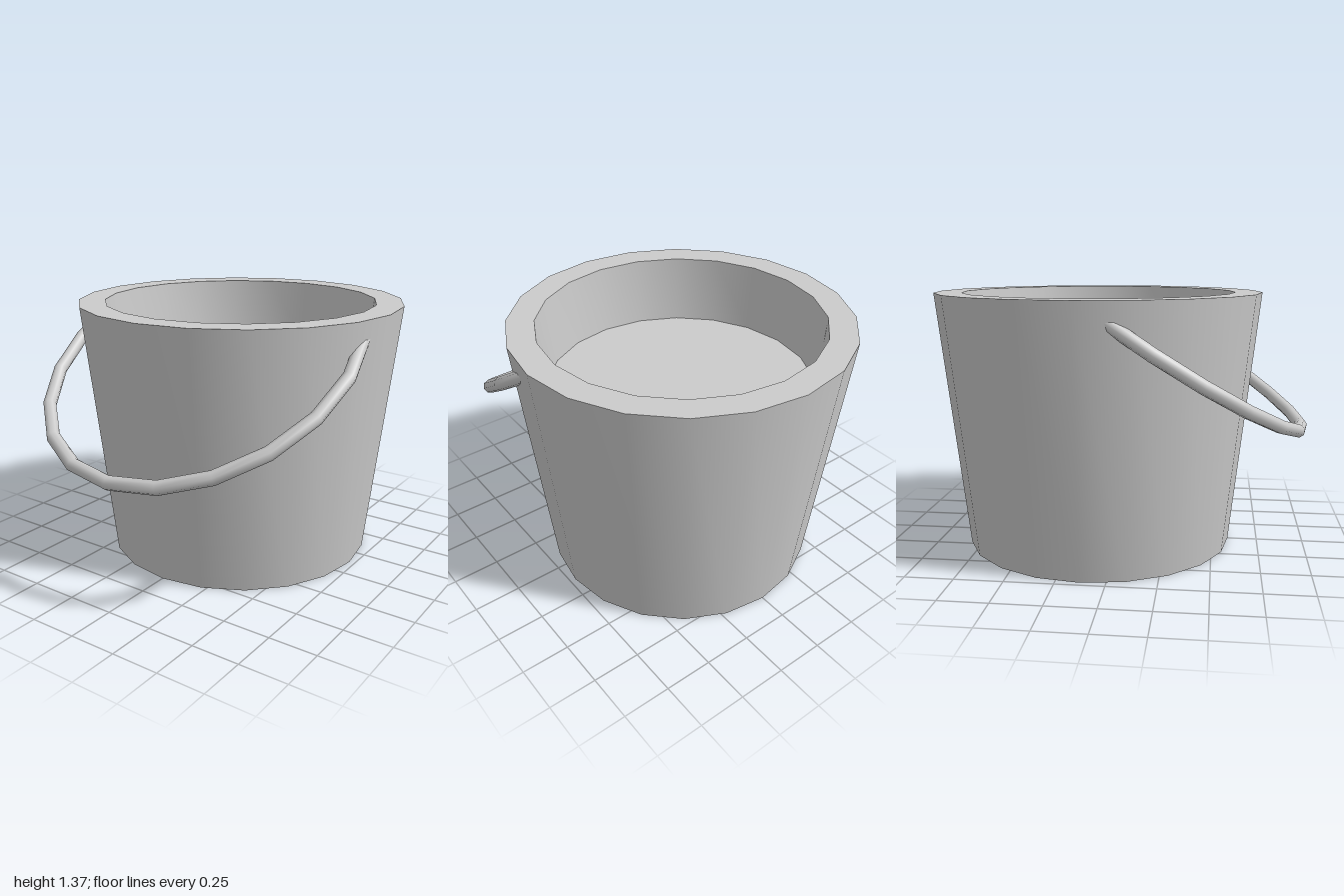
import * as THREE from 'three';
import { toCreasedNormals } from 'three/addons/utils/BufferGeometryUtils.js';

export function createModel() {
  const model = new THREE.Group();
  model.name = 'bucket';
  const material = new THREE.MeshStandardMaterial({ color: 0xcccccc });

  // Tapered thick-walled body: base, outer wall, rim, inner wall, raised floor
  const profile = [
    [0, 0], [0.72, 0], [0.87, 1.366], [0.728, 1.366], [0.692, 1.01], [0, 1.01],
  ].map(([r, y]) => new THREE.Vector2(r, y));
  const body = new THREE.Mesh(
    toCreasedNormals(new THREE.LatheGeometry(profile, 20), 0.5), material);
  body.name = 'bucketBody';
  body.position.z = -0.13;
  model.add(body);

  // Swung-down handle: arc of 18-degree steps whose ends sink into the wall
  const step = Math.PI / 10;
  const arc = new THREE.TorusGeometry(0.84, 0.035, 8, 12, 12 * step);
  arc.rotateZ(-Math.PI / 2 - 6 * step);
  arc.scale(1, 1.038, 1);
  const handle = new THREE.Mesh(arc, material);
  handle.name = 'handle';
  handle.rotation.x = -1.002;
  handle.position.set(0, 1.128, 0.229);
  model.add(handle);

  return model;
}
